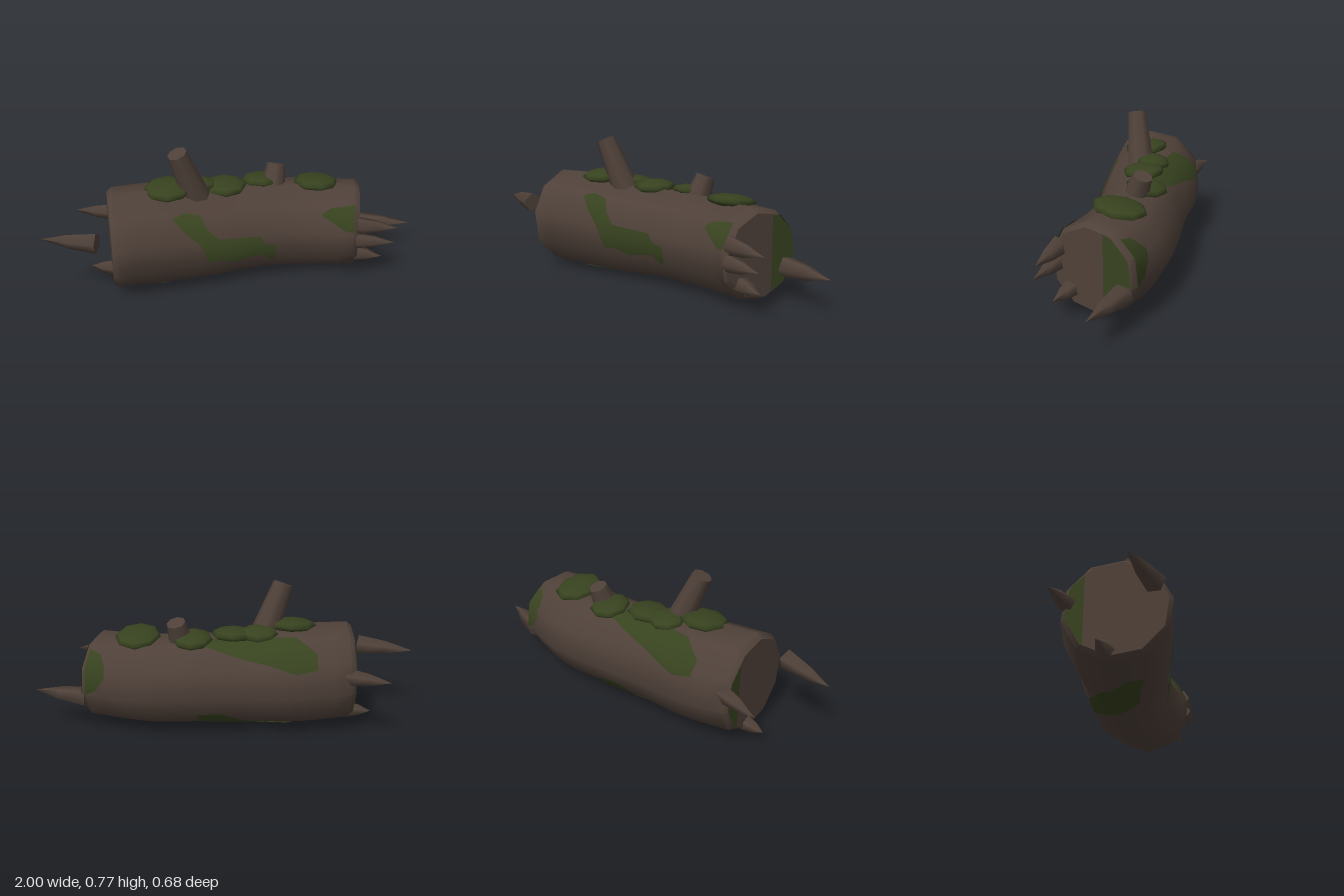
import * as THREE from 'three';
import { toCreasedNormals } from 'three/addons/utils/BufferGeometryUtils.js';

const V = (x, y, z) => new THREE.Vector3(x, y, z);
const rad = THREE.MathUtils.degToRad;

// Trunk stations, evenly spaced in x: (centre y, centre z, radius)
const spine = new THREE.CatmullRomCurve3([
  V(0.277, 0.085, 0.262), V(0.267, 0.02, 0.268), V(0.252, -0.022, 0.25),
  V(0.25, -0.083, 0.241), V(0.243, -0.107, 0.24), V(0.247, -0.07, 0.233),
], false, 'catmullrom', 0.5);

// Point on the ten-sided, bent trunk; angle 0 faces +z and 90 is up
function surf(x, deg, scale = 1, lift = 0) {
  const t = THREE.MathUtils.clamp((x + 0.66) / 1.32, 0, 1);
  const c = spine.getPoint(t);
  const a = rad(deg);
  const local = ((((deg - 10) % 36) + 36) % 36) - 18;
  const r = c.z * scale * Math.cos(rad(18)) / Math.cos(rad(local)) + lift;
  const lean = -0.14 + 0.29 * t;
  return V(x - lean * r * Math.cos(a), c.x + r * Math.sin(a), c.y + r * Math.cos(a));
}

// Quad grid from a rule giving a point for column i and row j
function grid(nu, nv, rule) {
  const pos = [], index = [];
  for (let i = 0; i <= nu; i++) {
    for (let j = 0; j <= nv; j++) {
      pos.push(...rule(i, j).toArray());
      if (i < nu && j < nv) {
        const k = i * (nv + 1) + j, m = k + nv + 1;
        index.push(k, m, m + 1, k, m + 1, k + 1);
      }
    }
  }
  const g = new THREE.BufferGeometry();
  g.setAttribute('position', new THREE.Float32BufferAttribute(pos, 3));
  g.setIndex(index);
  g.computeVertexNormals();
  return g;
}

// Thin painted patch: columns of [x, lower angle, upper angle]
function patchGeometry(cols) {
  const sub = 5, rows = 14, angles = [];
  const g = grid((cols.length - 1) * sub, rows, (i, j) => {
    const k = Math.min(Math.floor(i / sub), cols.length - 2);
    const f = i / sub - k;
    const [x, lo, hi] = cols[k].map((v, n) => v + (cols[k + 1][n] - v) * f);
    const a = lo + (hi - lo) * j / rows;
    angles.push(rad(a));
    return surf(x, a, 1, 0.006);
  });
  angles.forEach((a, i) => g.attributes.normal.setXYZ(i, 0, Math.sin(a), Math.cos(a)));
  return g;
}

// Flat painted segment at the back of an end face
function capPatchGeometry(x, out, a0, a1) {
  const p0 = surf(x, a0, 0.92), p1 = surf(x, a1, 0.92);
  return grid(1, 24, (i, j) => {
    const f = j / 24;
    const p = i ? surf(x, a0 + (a1 - a0) * f, 0.92) : p0.clone().lerp(p1, f);
    p.x += out;
    return p;
  });
}

export function createModel() {
  const model = new THREE.Group();
  const bark = new THREE.MeshStandardMaterial({ color: 0x4f4139 });
  bark.name = 'brown bark';
  const moss = new THREE.MeshStandardMaterial({ color: 0x37421f, side: THREE.DoubleSide });
  moss.name = 'green moss';

  const add = (name, geometry, material) => {
    const mesh = new THREE.Mesh(geometry, material);
    mesh.name = name;
    model.add(mesh);
    return mesh;
  };
  // Stand a mesh built along +y on a base point, aimed at its tip
  const aim = (mesh, from, to) => {
    mesh.position.copy(from);
    mesh.quaternion.setFromUnitVectors(V(0, 1, 0), to.clone().sub(from).normalize());
  };

  // Trunk with bevelled, closed ends
  const stations = [[-0.665, 0], [-0.665, 0.92]];
  for (let i = 0; i <= 18; i++) stations.push([-0.64 + 1.29 * i / 18, 1]);
  stations.push([0.675, 0.92], [0.675, 0]);
  const trunk = grid(stations.length - 1, 10, (i, j) =>
    surf(stations[i][0], 10 + 36 * (j % 10), stations[i][1]));
  add('trunk', toCreasedNormals(trunk, 0.68), bark);

  // Painted moss on the bark
  const patches = {
    frontMossPatch: [[-0.34, 40, 42], [-0.28, 25, 48], [-0.2, 10, 45], [-0.16, -16, 28],
      [-0.1, -15, 15], [0, -21, 13], [0.13, -17, 11], [0.15, -19, 0], [0.2, -27, -2], [0.215, -24, -6]],
    frontEndMossPatch: [[0.47, 34, 36], [0.52, 27, 44], [0.6, 15, 47], [0.65, 13, 50]],
    backMossPatch: [[-0.48, 140, 158], [-0.38, 118, 162], [-0.25, 112, 150], [-0.1, 105, 138],
      [0.05, 102, 122], [0.15, 108, 114]],
    backEndMossPatch: [[0.55, 150, 165], [0.59, 133, 182], [0.65, 128, 190]],
    bottomMossPatch: [[-0.42, 275, 297], [-0.28, 245, 292], [-0.12, 225, 288], [0, 212, 255], [0.1, 215, 225]],
  };
  for (const [name, cols] of Object.entries(patches)) add(name, patchGeometry(cols), moss);
  add('leftEndMoss', capPatchGeometry(0.675, 0.004, 108, 252), moss);
  add('rightEndMoss', capPatchGeometry(-0.665, -0.004, 130, 230), moss);

  // Splintered spikes at both ends: base, tip, base radius
  const spikes = [
    [V(-0.71, 0.355, 0.275), V(-1, 0.355, 0.22), 0.055],
    [V(-0.65, 0.315, -0.135), V(-0.875, 0.31, -0.175), 0.048],
    [V(-0.66, 0.065, 0.035), V(-0.785, 0.07, 0.025), 0.045],
    [V(0.69, 0.165, -0.235), V(1, 0.17, -0.18), 0.058],
    [V(0.63, 0.325, 0.115), V(0.85, 0.31, 0.13), 0.05],
    [V(0.63, 0.24, 0.125), V(0.835, 0.235, 0.15), 0.046],
    [V(0.63, 0.12, 0.045), V(0.79, 0.11, 0.08), 0.05],
  ];
  for (const [from, to, r] of spikes) {
    const len = from.distanceTo(to);
    const profile = [[0, 0], [r, 0], [r, 0.001], [r * 0.68, len * 0.5], [0, len]];
    const g = new THREE.LatheGeometry(profile.map(p => new THREE.Vector2(...p)), 5);
    aim(add('spike', g, bark), from, to);
  }

  // Broken branch stubs: base, top, base radius, top radius
  const stubs = [
    ['tallStub', V(-0.195, 0.44, 0.01), V(-0.3, 0.742, 0.076), 0.078, 0.052],
    ['shortStub', V(0.205, 0.43, -0.105), V(0.228, 0.572, -0.155), 0.07, 0.05],
  ];
  for (const [name, from, to, r0, r1] of stubs) {
    const len = from.distanceTo(to);
    const g = new THREE.CylinderGeometry(r1, r0, len, 8).translate(0, len / 2, 0);
    aim(add(name, g, bark), from, to);
  }

  // Flattened moss cushions on top: centre, half sizes in x and z, tilt about x
  const cushions = [
    [V(-0.355, 0.53, 0.04), 0.125, 0.12, 0.1],
    [V(-0.19, 0.505, -0.06), 0.1, 0.09, -0.15],
    [V(-0.055, 0.495, -0.055), 0.115, 0.11, 0.05],
    [V(0.145, 0.485, -0.145), 0.105, 0.11, -0.15],
    [V(0.44, 0.478, -0.115), 0.12, 0.14, -0.15],
  ];
  cushions.forEach(([p, sx, sz, tilt], i) => {
    const mesh = add('mossCushion', new THREE.SphereGeometry(1, 8, 6), moss);
    mesh.scale.set(sx, 0.034, sz);
    mesh.position.copy(p);
    mesh.rotation.set(tilt, i * 0.02, 0);
  });

  return model;
}
